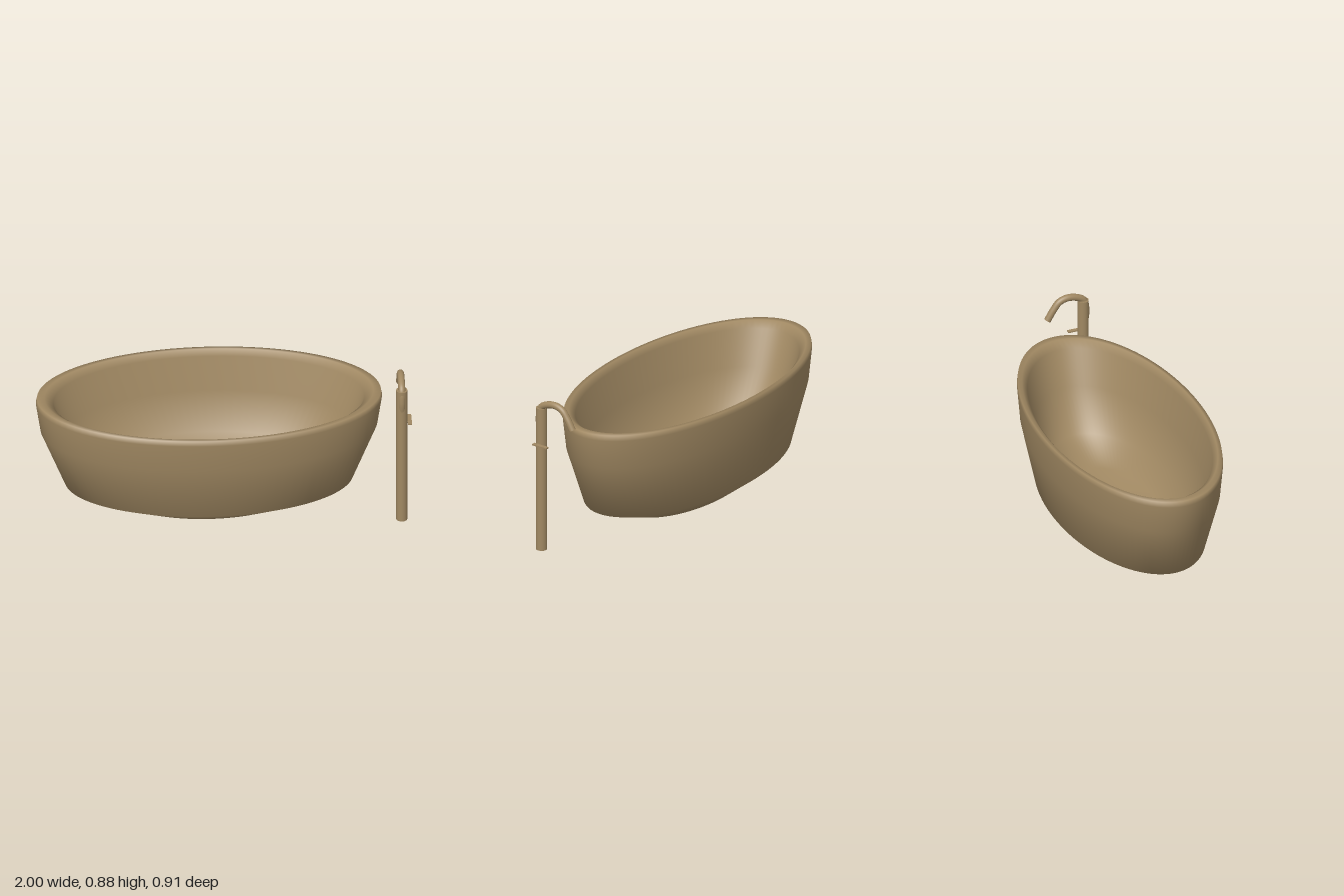
import * as THREE from 'three';

export function createModel() {
  const group = new THREE.Group();
  const bronze = new THREE.MeshStandardMaterial({ color: 0xa08862 });
  bronze.name = 'warm bronze';

  const add = (name, geometry, x = 0, y = 0, z = 0) => {
    const mesh = new THREE.Mesh(geometry, bronze);
    mesh.name = name;
    mesh.position.set(x, y, z);
    group.add(mesh);
    return mesh;
  };

  // Oval tub: profile up the outside, over the soft rim and down the inside
  const profile = [
    [0, 0.035], [0.465, 0.051], [0.772, 0.168], [0.901, 0.5], [0.926, 0.67], [0.92, 0.7],
    [0.88, 0.7], [0.832, 0.668], [0.765, 0.47], [0.63, 0.25], [0.4, 0.165], [0, 0.14],
  ].map(([r, y]) => new THREE.Vector2(r, y));
  const tub = add('tub', new THREE.LatheGeometry(profile, 96), -0.074, 0, 0);
  tub.scale.z = 0.494;

  // Drain fitting, just showing above and below the tub floor
  add('drain', new THREE.CylinderGeometry(0.022, 0.022, 0.109, 24), -0.074, 0.0895, 0);

  // Free-standing tap
  const tapX = 0.946, tapZ = 0.207;
  add('tapPost', new THREE.CylinderGeometry(0.03, 0.03, 0.826, 32), tapX, 0.413, tapZ);

  // Spout rises out of the post, arches over and drops toward the tub
  const path = new THREE.CatmullRomCurve3([
    [0.66, 0.212], [0.76, 0.223], [0.825, 0.21], [0.85, 0.17], [0.859, 0.115],
    [0.844, 0.07], [0.803, 0.036], [0.745, 0.001],
  ].map(([y, z]) => new THREE.Vector3(tapX, y, z)));
  add('spout', new THREE.TubeGeometry(path, 64, 0.019, 20));

  // Disc closing the spout end
  const cap = add('spoutEnd', new THREE.CircleGeometry(0.019, 20));
  cap.position.copy(path.getPoint(1));
  cap.quaternion.setFromUnitVectors(new THREE.Vector3(0, 0, 1), path.getTangent(1));

  // Flat lever beside the post with its short stem
  add('lever', new THREE.BoxGeometry(0.022, 0.007, 0.096), 0.989, 0.62, 0.184);
  const stem = add('leverStem', new THREE.CylinderGeometry(0.005, 0.005, 0.03, 12), 0.972, 0.62, tapZ);
  stem.rotation.z = Math.PI / 2;

  return group;
}
